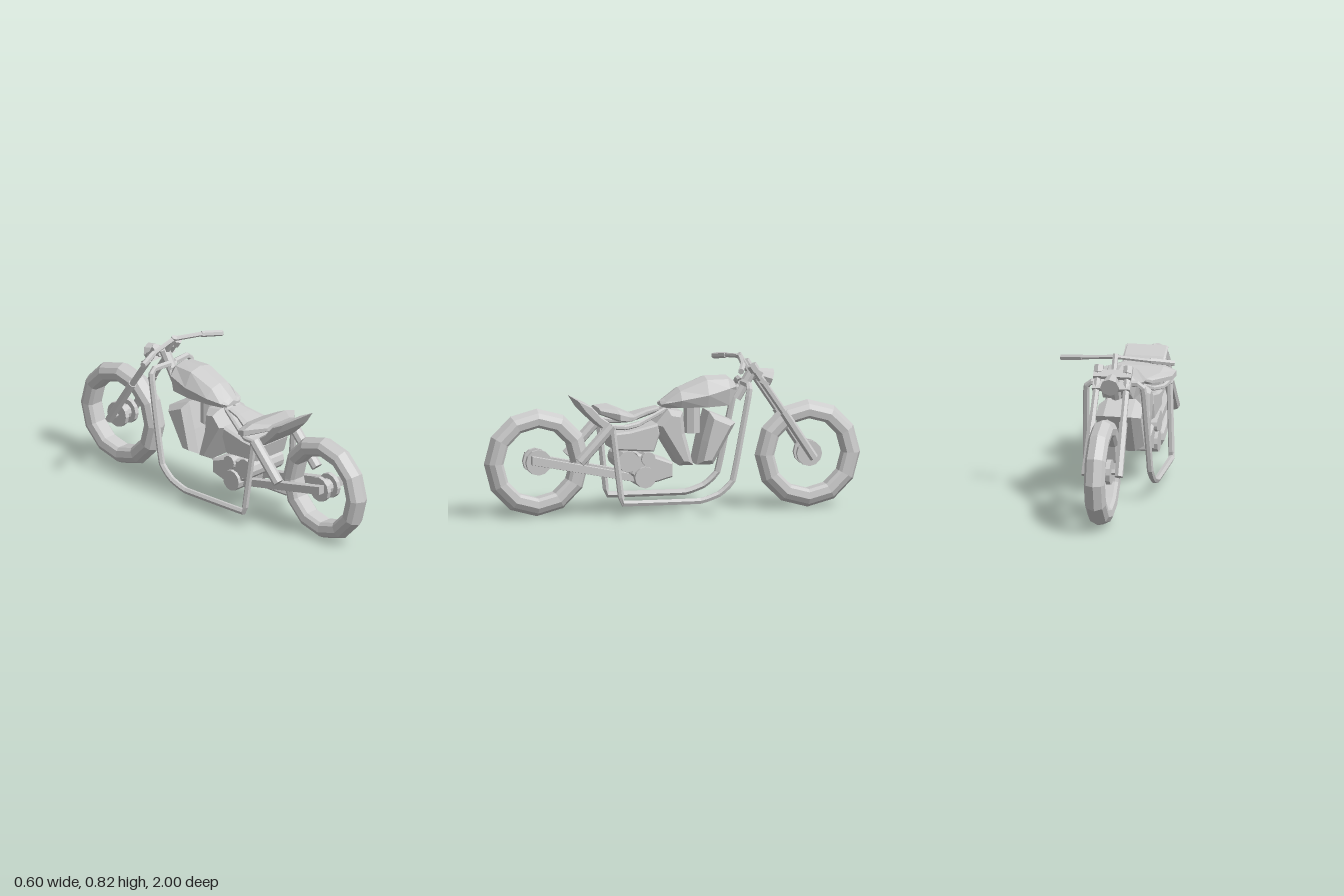
import * as THREE from 'three';

const mat = new THREE.MeshStandardMaterial({ color: 0xcccccc, flatShading: true, side: THREE.DoubleSide });
const V = (x, y, z) => new THREE.Vector3(x, y, z);

export function createModel() {
  const model = new THREE.Group();

  const add = (name, geo, parent = model) => {
    const m = new THREE.Mesh(geo, mat);
    m.name = name;
    parent.add(m);
    return m;
  };

  // straight round bar between two points
  const rod = (name, a, b, r, sides = 6, r2 = r) => {
    const m = add(name, new THREE.CylinderGeometry(r2, r, a.distanceTo(b), sides));
    m.position.copy(a).add(b).multiplyScalar(0.5);
    m.quaternion.setFromUnitVectors(V(0, 1, 0), b.clone().sub(a).normalize());
    return m;
  };

  // bent tube through points
  const tube = (name, pts, r) => {
    const curve = new THREE.CatmullRomCurve3(pts, false, 'catmullrom', 0.12);
    return add(name, new THREE.TubeGeometry(curve, 48, r, 6));
  };

  // bevelled block: [z, y] outline, spread across x
  const block = (name, outline, half, bevel, x = 0) => {
    const shape = new THREE.Shape(outline.map(([z, y]) => new THREE.Vector2(z, y)));
    const geo = new THREE.ExtrudeGeometry(shape, {
      depth: 2 * (half - bevel), bevelThickness: bevel, bevelSize: bevel * 0.6,
      bevelOffset: -bevel * 0.6, bevelSegments: 1,
    });
    geo.translate(0, 0, bevel - half).rotateY(-Math.PI / 2).translate(x, 0, 0);
    return add(name, geo);
  };

  // closed skin over rings that advance along +z
  const loft = (name, rings) => {
    const n = rings[0].length, pos = rings.flat().flatMap(p => [p.x, p.y, p.z]), idx = [];
    for (let i = 0; i < rings.length - 1; i++)
      for (let j = 0; j < n; j++) {
        const a = i * n + j, b = i * n + (j + 1) % n;
        idx.push(a, b, b + n, a, b + n, a + n);
      }
    const last = (rings.length - 1) * n;
    for (let j = 1; j < n - 1; j++) idx.push(0, j + 1, j, last, last + j, last + j + 1);
    const geo = new THREE.BufferGeometry();
    geo.setAttribute('position', new THREE.Float32BufferAttribute(pos, 3));
    geo.setIndex(idx);
    const flat = geo.toNonIndexed();
    flat.computeVertexNormals();
    return add(name, flat);
  };

  // cylinder lying along x
  const crossCylinder = (name, r, half, y, z, sides = 12, x = 0) => {
    const m = add(name, new THREE.CylinderGeometry(r, r, half * 2, sides).rotateZ(Math.PI / 2));
    m.position.set(x, y, z);
    return m;
  };

  // wheels with hub and axle
  const tyre = [[0.185, -0.035], [0.2, -0.05], [0.235, -0.055], [0.262, -0.04], [0.281, 0],
    [0.262, 0.04], [0.235, 0.055], [0.2, 0.05], [0.185, 0.035], [0.185, -0.035]]
    .map(p => new THREE.Vector2(...p));
  for (const [name, z] of [['front', -0.72], ['rear', 0.72]]) {
    const t = add(name + 'Tyre', new THREE.LatheGeometry(tyre, 12).rotateZ(Math.PI / 2));
    t.position.set(0, 0.281, z);
    for (const s of [-1, 1]) crossCylinder(name + 'HubFlange', 0.067, 0.012, 0.285, z, 12, s * 0.036);
    crossCylinder(name + 'Hub', 0.04, 0.03, 0.285, z, 10);
    crossCylinder(name + 'Axle', 0.015, 0.09, 0.285, z, 6);
  }

  // fuel tank: [z, half width, bottom, shoulder height, top]
  loft('fuelTank', [
    [-0.33, 0.06, 0.63, 0.65, 0.67], [-0.285, 0.1, 0.555, 0.645, 0.705], [-0.17, 0.113, 0.55, 0.615, 0.705],
    [-0.03, 0.1, 0.55, 0.59, 0.65], [0.045, 0.075, 0.55, 0.575, 0.595], [0.067, 0.055, 0.555, 0.568, 0.58],
  ].map(([z, w, b, m, t]) => [V(-w * 0.8, b, z), V(w * 0.8, b, z), V(w, m, z),
    V(w * 0.62, t - 0.015, z), V(0, t, z), V(-w * 0.62, t - 0.015, z), V(-w, m, z)]));

  // seat: [z, half width, bottom, top]
  loft('seat', [
    [0.08, 0.05, 0.535, 0.555], [0.15, 0.06, 0.52, 0.54], [0.22, 0.085, 0.49, 0.52],
    [0.27, 0.18, 0.495, 0.54], [0.32, 0.192, 0.5, 0.56], [0.405, 0.1, 0.53, 0.562],
  ].map(([z, w, b, t]) => {
    const lo = b + (t - b) * 0.2, hi = b + (t - b) * 0.7;
    return [V(-w * 0.7, b, z), V(w * 0.7, b, z), V(w, lo, z), V(w, hi, z),
      V(w * 0.65, t, z), V(-w * 0.65, t, z), V(-w, hi, z), V(-w, lo, z)];
  }));

  // tail fender and box under the seat
  block('tailFender', [[0.53, 0.612], [0.45, 0.575], [0.4, 0.52], [0.35, 0.485], [0.35, 0.44],
    [0.39, 0.455], [0.44, 0.5], [0.49, 0.55]], 0.112, 0.01);
  block('sideBox', [[0.355, 0.43], [0.25, 0.44], [0.1, 0.475], [0.09, 0.42], [0.12, 0.33], [0.33, 0.345]], 0.115, 0.015);

  // twin cylinders and carburettor
  block('rearCylinder', [[0.11, 0.465], [0.04, 0.545], [-0.04, 0.53], [-0.05, 0.42], [-0.095, 0.25], [-0.02, 0.25]], 0.118, 0.045);
  block('frontCylinder', [[-0.32, 0.465], [-0.18, 0.525], [-0.14, 0.38], [-0.112, 0.25], [-0.2, 0.25]], 0.118, 0.045);
  rod('carburettor', V(0, 0.41, -0.105), V(0, 0.56, -0.105), 0.045, 8);

  // gearbox with round covers
  block('gearbox', [[0.25, 0.22], [0.21, 0.32], [0.13, 0.31], [0.02, 0.27], [0.02, 0.195], [0.11, 0.17], [0.2, 0.18]], 0.112, 0.015);
  crossCylinder('rearCover', 0.055, 0.12, 0.285, 0.26);
  crossCylinder('upperCover', 0.037, 0.128, 0.295, 0.155);
  crossCylinder('lowerCover', 0.056, 0.13, 0.2, 0.172);

  // steering head, clamps and headlamp
  rod('steeringHead', V(0, 0.58, -0.34), V(0, 0.73, -0.43), 0.028, 8);
  rod('topTube', V(0, 0.64, -0.37), V(0, 0.575, -0.22), 0.02);
  for (const [y, z] of [[0.725, -0.435], [0.67, -0.468]]) {
    const c = add('forkClamp', new THREE.BoxGeometry(0.2, 0.022, 0.05));
    c.position.set(0, y, z);
    c.rotation.x = -0.55;
  }
  rod('headlamp', V(0, 0.705, -0.445), V(0, 0.68, -0.525), 0.03, 8, 0.05);
  rod('handlebarStem', V(0, 0.7, -0.42), V(0, 0.812, -0.352), 0.016);

  for (const s of [-1, 1]) {
    // front fork
    rod('forkLower', V(s * 0.088, 0.265, -0.735), V(s * 0.082, 0.51, -0.575), 0.023);
    rod('forkUpper', V(s * 0.082, 0.5, -0.582), V(s * 0.077, 0.745, -0.415), 0.018);
    rod('forkCap', V(s * 0.077, 0.73, -0.425), V(s * 0.077, 0.762, -0.404), 0.027);

    // handlebar with grip
    rod('handlebar', V(0, 0.8, -0.36), V(s * 0.2, 0.778, -0.33), 0.012);
    rod('grip', V(s * 0.18, 0.78, -0.333), V(s * 0.297, 0.762, -0.295), 0.016);

    // looped frame tube and seat rail
    tube('frameTube', [V(s * 0.02, 0.665, -0.37), V(s * 0.125, 0.665, -0.38), V(s * 0.15, 0.635, -0.375),
      V(s * 0.165, 0.28, -0.305), V(s * 0.168, 0.17, -0.28), V(s * 0.17, 0.11, -0.215), V(s * 0.17, 0.075, -0.11),
      V(s * 0.17, 0.075, 0.295), V(s * 0.169, 0.095, 0.31), V(s * 0.15, 0.48, 0.355)], 0.017);
    tube('seatRail', [V(s * 0.15, 0.475, 0.36), V(s * 0.13, 0.465, 0.28), V(s * 0.09, 0.475, 0.2),
      V(s * 0.025, 0.55, 0.02)], 0.013);

    // rear shock and swing arm
    rod('rearShock', V(s * 0.145, 0.295, 0.525), V(s * 0.145, 0.48, 0.355), 0.029, 8);
    block('swingArm', [[0.765, 0.325], [0.765, 0.28], [0.2, 0.17], [0.2, 0.21]], 0.018, 0.002, s * 0.073);
  }
  return model;
}
